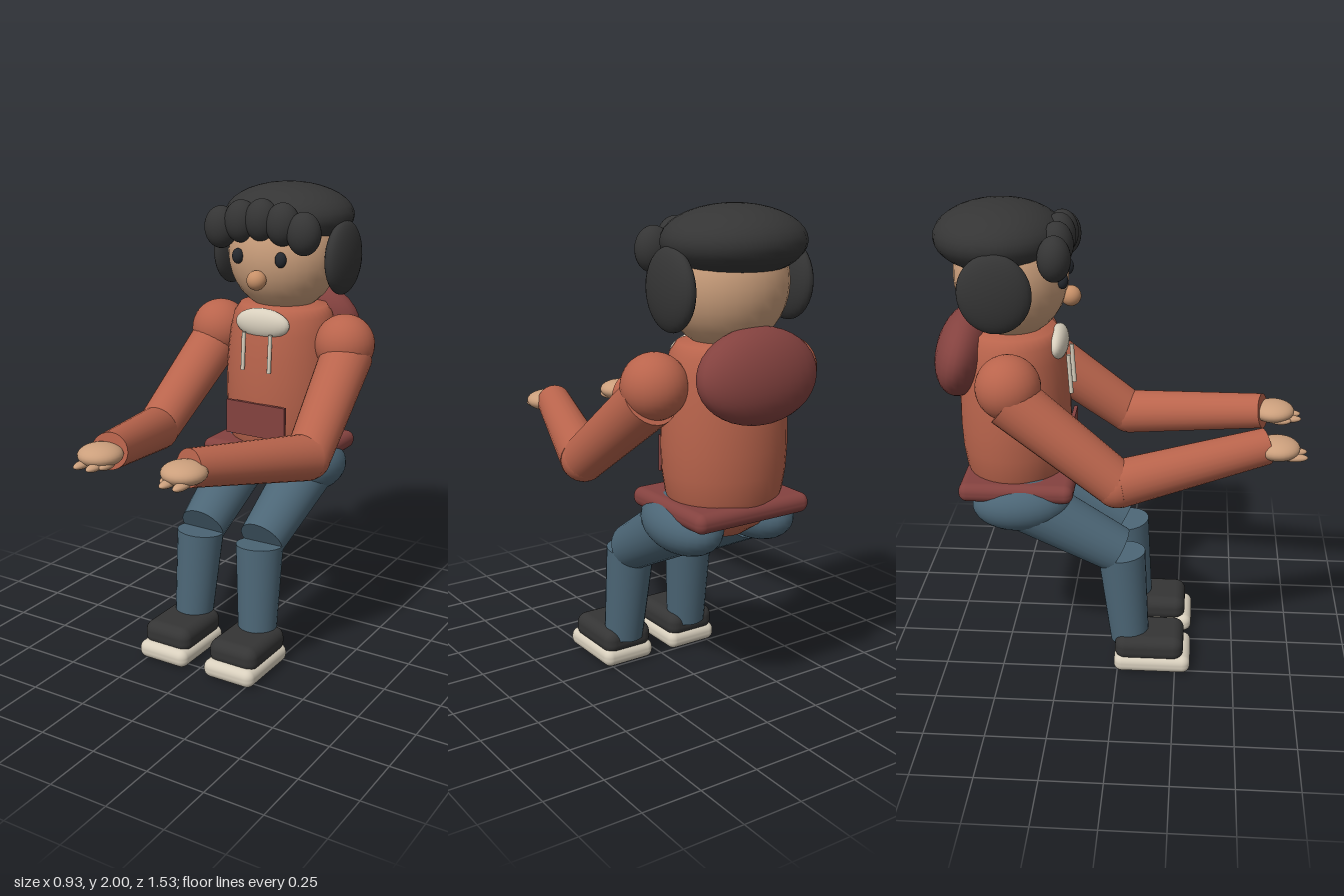
import * as THREE from 'three';
import { RoundedBoxGeometry } from 'three/addons/geometries/RoundedBoxGeometry.js';

const mat = (name, color) => Object.assign(new THREE.MeshStandardMaterial({ color }), { name });

export function createModel() {
  const root = new THREE.Group();
  root.name = 'seatedFigure';

  const hoodie = mat('rust hoodie', 0xb9644c);
  const maroon = mat('maroon trim', 0x84423f);
  const denim = mat('blue denim', 0x4c6676);
  const black = mat('charcoal hair and shoes', 0x353535);
  const skin = mat('skin', 0xcb9f7c);
  const noseTone = mat('nose skin', 0xc79068);
  const cream = mat('cream', 0xd8cfbd);
  const eyeTone = mat('eye', 0x25292f);

  function add(name, geometry, material, p) {
    const m = new THREE.Mesh(geometry, material);
    m.name = name;
    m.position.set(...p);
    root.add(m);
    return m;
  }
  // Ellipsoid with radii r at p
  function ball(name, material, p, r) {
    const m = add(name, new THREE.SphereGeometry(1, 28, 18), material, p);
    m.scale.set(...r);
    return m;
  }
  // Tapered limb from a (radius ra) to b (radius rb)
  function limb(name, material, a, b, ra, rb, seg = 24) {
    const A = new THREE.Vector3(...a), B = new THREE.Vector3(...b);
    const d = B.clone().sub(A);
    const mid = A.clone().add(B).multiplyScalar(0.5);
    const m = add(name, new THREE.CylinderGeometry(rb, ra, d.length(), seg), material, mid.toArray());
    m.quaternion.setFromUnitVectors(new THREE.Vector3(0, 1, 0), d.normalize());
    return m;
  }
  const rbox = (w, h, d, r) => new RoundedBoxGeometry(w, h, d, 4, r);

  // Torso
  const profile = [[0, 0.7], [0.09, 0.715], [0.16, 0.76], [0.21, 0.82], [0.238, 0.89], [0.252, 0.98],
    [0.257, 1.08], [0.255, 1.18], [0.248, 1.28], [0.237, 1.37], [0.222, 1.44], [0.195, 1.48], [0.1, 1.495], [0, 1.5]];
  const torso = add('torso', new THREE.LatheGeometry(profile.map(([x, y]) => new THREE.Vector2(x, y)), 36), hoodie, [0, 0, -0.44]);
  torso.scale.z = 0.9;

  // Hoodie details
  ball('hood', maroon, [0, 1.378, -0.643], [0.27, 0.184, 0.115]).rotation.x = 0.2;
  ball('collar', cream, [0, 1.42, -0.257], [0.13, 0.066, 0.043]);
  add('waistband', rbox(0.54, 0.08, 0.475, 0.036), maroon, [0, 0.837, -0.42]);
  add('pocket', new THREE.BoxGeometry(0.29, 0.15, 0.016), maroon, [0, 1, -0.205]);

  // Head
  ball('head', skin, [0, 1.705, -0.44], [0.247, 0.26, 0.232]);
  ball('nose', noseTone, [0, 1.615, -0.202], [0.042, 0.042, 0.042]);
  ball('hairCap', black, [0, 1.863, -0.483], [0.285, 0.137, 0.262]);
  for (let i = -2; i <= 2; i++) {
    const x = i * 0.1;
    ball('fringeCurl', black, [x, 1.862 - 1.05 * x * x, -0.243], [0.074, 0.09, 0.066]);
  }

  for (const s of [1, -1]) {
    const side = s > 0 ? 'left' : 'right';
    ball(side + 'Eye', eyeTone, [0.104 * s, 1.707, -0.222], [0.025, 0.033, 0.022]);
    ball(side + 'SideHair', black, [0.273 * s, 1.698, -0.467], [0.052, 0.158, 0.146]);
    limb(side + 'Drawstring', cream, [0.065 * s, 1.385, -0.21], [0.065 * s, 1.22, -0.2], 0.009, 0.009, 10);

    // Arm
    ball(side + 'Shoulder', hoodie, [0.313 * s, 1.335, -0.42], [0.13, 0.13, 0.13]);
    const elbow = [0.372 * s, 0.96, 0.01], wrist = [0.184 * s, 1.058, 0.6];
    limb(side + 'UpperArm', hoodie, [0.328 * s, 1.29, -0.415], elbow, 0.112, 0.094);
    ball(side + 'Elbow', hoodie, elbow, [0.095, 0.095, 0.095]);
    limb(side + 'Forearm', hoodie, elbow, wrist, 0.097, 0.075);

    // Hand
    ball(side + 'Palm', skin, [0.194 * s, 1.056, 0.645], [0.09, 0.045, 0.09]);
    for (const [x, z, l] of [[0.228, 0.71, 0.055], [0.168, 0.71, 0.055], [0.142, 0.675, 0.045]])
      ball(side + 'Finger', skin, [x * s, 1.03, z], [0.023, 0.016, l]);

    // Leg
    ball(side + 'Hip', denim, [0.175 * s, 0.768, -0.405], [0.138, 0.117, 0.208]).rotation.x = -0.08;
    limb(side + 'Thigh', denim, [0.163 * s, 0.755, -0.377], [0.15 * s, 0.54, -0.005], 0.126, 0.1);
    limb(side + 'Shin', denim, [0.15 * s, 0.528, 0.012], [0.164 * s, 0.12, 0.05], 0.102, 0.083);

    // Shoe
    add(side + 'Sole', rbox(0.242, 0.08, 0.33, 0.035), cream, [0.165 * s, 0.042, 0.15]);
    add(side + 'ShoeUpper', rbox(0.228, 0.11, 0.295, 0.045), black, [0.165 * s, 0.11, 0.137]);
  }
  return root;
}
